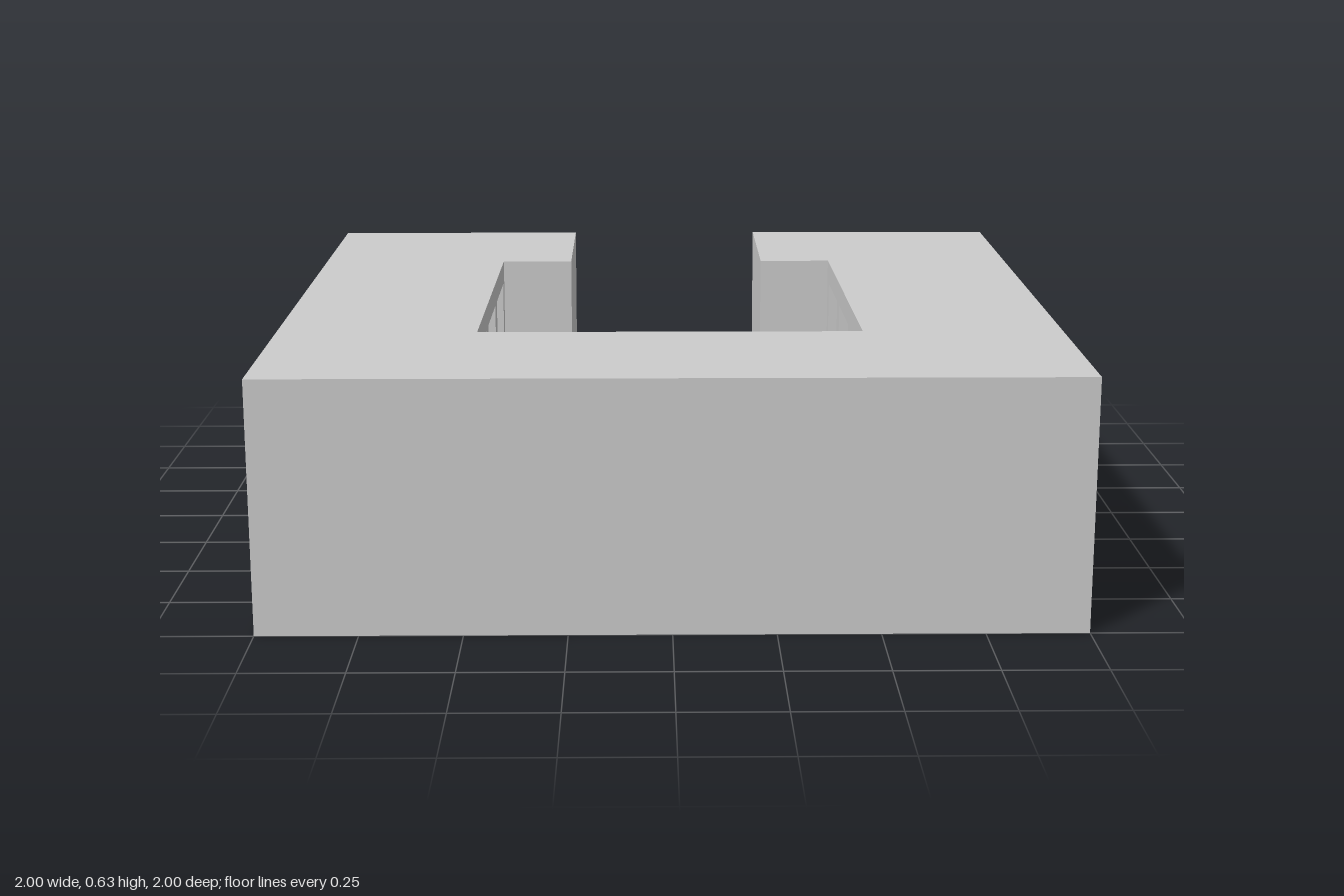
import * as THREE from 'three';

const H = 0.63;    // building height
const D = 0.035;   // depth of the window recesses
const material = new THREE.MeshStandardMaterial({ color: 0xcccccc, flatShading: true });

// Corners of the courtyard, as [x, z]; the side walls converge slightly to the back
const FRONT_X = 0.49, FRONT_Z = 0.487, BACK_X = 0.479, BACK_Z = -0.5, GATE_X = 0.28;

function rectangle(PathType, x0, y0, x1, y1) {
  const p = new PathType();
  p.moveTo(x0, y0).lineTo(x1, y0).lineTo(x1, y1).lineTo(x0, y1).closePath();
  return p;
}

// Wall layer with three tall openings, running from a to b; it thickens away from the courtyard
function bayWall(name, a, b, overlap) {
  const length = Math.hypot(b[0] - a[0], b[1] - a[1]);
  const shape = rectangle(THREE.Shape, -overlap, 0, length + overlap, H);
  const margin = 0.042, pier = 0.062;
  const bay = (length - 2 * margin - 2 * pier) / 3;
  for (let i = 0; i < 3; i++) {
    const x = margin + i * (bay + pier);
    shape.holes.push(rectangle(THREE.Path, x, 0.065, x + bay, 0.57));
  }
  const mesh = new THREE.Mesh(
    new THREE.ExtrudeGeometry(shape, { depth: D, bevelEnabled: false }), material);
  mesh.name = name;
  mesh.position.set(a[0], 0, a[1]);
  mesh.rotation.y = Math.atan2(a[1] - b[1], b[0] - a[0]);
  return mesh;
}

export function createModel() {
  const group = new THREE.Group();
  group.name = 'courtyardBuilding';

  // Main block: a square ring with a gateway at the back
  const half = [[1, 1], [1, -1], [GATE_X, -1], [GATE_X, BACK_Z],
    [BACK_X + D, BACK_Z], [FRONT_X + D, FRONT_Z + D]];
  const outline = [...half, ...half.map(([x, z]) => [-x, z]).reverse()];
  const footprint = new THREE.Shape(outline.map(([x, z]) => new THREE.Vector2(x, z)));
  const geometry = new THREE.ExtrudeGeometry(footprint, { depth: H, bevelEnabled: false });
  geometry.rotateX(Math.PI / 2).translate(0, H, 0);
  const block = new THREE.Mesh(geometry, material);
  block.name = 'mainBlock';
  group.add(block);

  // Courtyard walls with recessed window bays
  group.add(
    bayWall('frontCourtyardWall', [-FRONT_X, FRONT_Z], [FRONT_X, FRONT_Z], D),
    bayWall('leftCourtyardWall', [FRONT_X, FRONT_Z], [BACK_X, BACK_Z], 0),
    bayWall('rightCourtyardWall', [-BACK_X, BACK_Z], [-FRONT_X, FRONT_Z], 0));
  return group;
}
